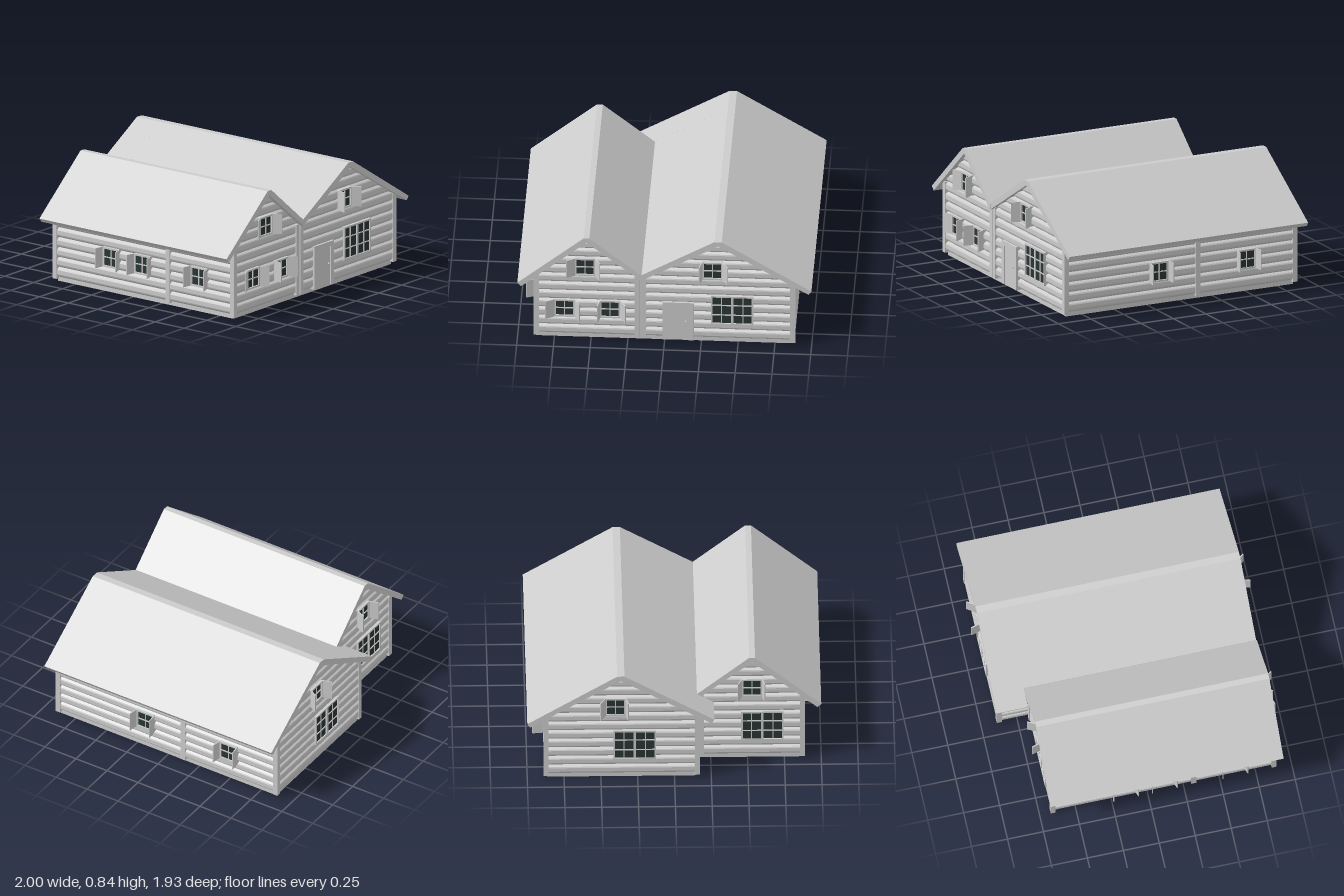
import * as THREE from 'three';

const wood = new THREE.MeshStandardMaterial({ color: 0xcccccc, flatShading: true });
const glass = new THREE.MeshStandardMaterial({ color: 0x2a3434 });

function mesh(parent, name, geo, x = 0, y = 0, z = 0, mat = wood) {
  const m = new THREE.Mesh(geo, mat);
  m.name = name;
  m.position.set(x, y, z);
  parent.add(m);
  return m;
}
const box = (parent, name, w, h, d, x, y, z, mat) =>
  mesh(parent, name, new THREE.BoxGeometry(w, h, d), x, y, z, mat);

// Polygon in x/y, extruded from z0 to z1
function prism(parent, name, pts, z0, z1) {
  const shape = new THREE.Shape(pts.map(p => new THREE.Vector2(...p)));
  const geo = new THREE.ExtrudeGeometry(shape, { depth: z1 - z0, bevelEnabled: false });
  return mesh(parent, name, geo, 0, 0, z0);
}

// A wall frame: local x runs along the wall, local z points outwards
function facade(parent, name, angle, x, z) {
  const g = new THREE.Group();
  g.name = name;
  g.rotation.y = angle;
  g.position.set(x, 0, z);
  parent.add(g);
  return g;
}

// Chamfered logs stacked between the limits left(y) and right(y)
const PITCH = 0.07, LOG = 0.02;
function logs(wall, left, right, rows) {
  for (let i = 0; i < rows; i++) {
    const y0 = 0.03 + i * PITCH, top = Math.min(y0 + PITCH, 0.795);
    const h = top - y0;
    const profile = [[0, 0], [LOG * 0.8, h * 0.18], [LOG, h * 0.32], [LOG, h * 0.72], [LOG * 0.8, h * 0.84], [0, h]];
    const geo = new THREE.ExtrudeGeometry(
      new THREE.Shape(profile.map(p => new THREE.Vector2(...p))), { depth: 1, bevelEnabled: false });
    const p = geo.attributes.position;
    for (let k = 0; k < p.count; k++) {
      const y = y0 + p.getY(k);
      p.setXYZ(k, THREE.MathUtils.lerp(left(y), right(y), 1 - p.getZ(k)), y, p.getX(k));
    }
    geo.computeVertexNormals();
    mesh(wall, 'log', geo);
  }
}

// Framed window with glazing bars; shutters = [left, right] opening angles in degrees from the wall
function windowAt(wall, x, y, w, h, cols, rows, shutters) {
  const g = new THREE.Group();
  g.name = 'window';
  g.position.set(x, y, 0);
  wall.add(g);
  const t = 0.012, rect = (path, a, b) =>
    path.moveTo(-a, -b).lineTo(a, -b).lineTo(a, b).lineTo(-a, b).closePath();
  const frame = new THREE.Shape(), hole = new THREE.Path();
  rect(frame, w / 2, h / 2);
  rect(hole, w / 2 - t, h / 2 - t);
  frame.holes.push(hole);
  mesh(g, 'windowFrame', new THREE.ExtrudeGeometry(frame, { depth: 0.032, bevelEnabled: false }));
  box(g, 'glass', w - t, h - t, 0.021, 0, 0, 0.0115, glass);
  for (let i = 1; i < cols; i++) {
    const middle = cols === 4 && i === 2;
    box(g, 'glazingBar', middle ? 0.018 : 0.007, h - t, middle ? 0.012 : 0.006, -w / 2 + i * w / cols, 0, 0.025);
  }
  for (let i = 1; i < rows; i++) box(g, 'glazingBar', w - t, 0.007, 0.006, 0, -h / 2 + i * h / rows, 0.025);
  if (!shutters) return;
  shutters.forEach((deg, i) => {
    const side = i ? 1 : -1, hinge = new THREE.Group();
    hinge.name = 'shutter';
    hinge.position.set(side * w / 2, 0, 0.03);
    hinge.rotation.y = -side * THREE.MathUtils.degToRad(deg);
    g.add(hinge);
    box(hinge, 'shutterPanel', 0.066, h, 0.007, side * 0.033, 0, 0);
  });
}
const smallWindow = (wall, x, y, shutters) => windowAt(wall, x, y, 0.14, 0.14, 2, 2, shutters);
const wideWindow = (wall, x, y, rows) => windowAt(wall, x, y, 0.29, 0.235, 4, rows);

export function createModel() {
  const house = new THREE.Group();
  house.name = 'logHouse';

  // Solid bodies of the two wings
  prism(house, 'smallWingBody', [[-0.86, 0], [-0.15, 0], [-0.15, 0.51], [-0.53, 0.81], [-0.86, 0.53]], -0.65, 0.87);
  prism(house, 'largeWingBody', [[-0.15, 0], [0.865, 0], [0.865, 0.51], [0.365, 0.81], [-0.15, 0.51]], -0.87, 0.87);

  // Roofs; the large one has a longer eave behind the small wing
  prism(house, 'smallRoof', [[-1, 0.46], [-0.975, 0.432], [-0.53, 0.805], [-0.155, 0.505],
    [-0.155, 0.548], [-0.51, 0.84], [-0.55, 0.84]], -0.7, 0.92);
  const largeRoof = (eave, z0, z1) => prism(house, 'largeRoof', [...eave, [0.365, 0.805], [0.98, 0.432],
    [1, 0.46], [0.39, 0.84], [0.34, 0.84]], z0, z1);
  largeRoof([[-0.155, 0.55], [-0.155, 0.505]], -0.7, 0.915);
  largeRoof([[-0.27, 0.483], [-0.255, 0.45]], -0.915, -0.7);

  // Gable outlines under the roof slopes
  const smallL = y => Math.max(-0.87, -1 + (y - 0.42) / 0.844);
  const smallR = y => Math.min(-0.17, -0.51 + (0.8 - y) / 0.817);
  const largeL = y => Math.max(-0.145, 0.34 - (0.8 - y) / 0.586);
  const largeR = y => Math.min(0.87, 0.39 + (0.8 - y) / 0.62);
  const flip = f => y => -f(y);
  const flat = v => () => v;

  // Front of the small wing
  const frontSmall = facade(house, 'smallWingFront', 0, 0, 0.87);
  logs(frontSmall, smallL, smallR, 11);
  smallWindow(frontSmall, -0.54, 0.59, [30, 60]);
  smallWindow(frontSmall, -0.68, 0.25, [28, 58]);
  smallWindow(frontSmall, -0.37, 0.25, [78, 55]);

  // Front of the large wing, with the door
  const frontLarge = facade(house, 'largeWingFront', 0, 0, 0.87);
  logs(frontLarge, largeL, largeR, 11);
  smallWindow(frontLarge, 0.325, 0.59, [75, 55]);
  wideWindow(frontLarge, 0.46, 0.27, 3);
  for (const x of [0.002, 0.182]) box(frontLarge, 'doorJamb', 0.034, 0.3, 0.034, x, 0.17, 0.017);
  box(frontLarge, 'doorLintel', 0.214, 0.034, 0.034, 0.092, 0.308, 0.017);
  box(frontLarge, 'doorLeaf', 0.146, 0.27, 0.025, 0.092, 0.155, 0.0125);
  mesh(frontLarge, 'doorKnob', new THREE.SphereGeometry(0.007, 10, 8), 0.145, 0.17, 0.03);

  // Backs
  const backSmall = facade(house, 'smallWingBack', Math.PI, 0, -0.65);
  logs(backSmall, flip(smallR), flip(smallL), 11);
  smallWindow(backSmall, 0.53, 0.58, [65, 75]);
  wideWindow(backSmall, 0.6, 0.27, 3);
  const backLarge = facade(house, 'largeWingBack', Math.PI, 0, -0.87);
  logs(backLarge, flip(largeR), flip(largeL), 11);
  smallWindow(backLarge, -0.4, 0.58, [58, 75]);
  wideWindow(backLarge, -0.27, 0.27, 3);

  // Side walls
  const leftSide = facade(house, 'leftSide', Math.PI / 2, 0.865, 0);
  logs(leftSide, flat(-0.87), flat(0.87), 7);
  for (const z of [0.17, -0.5]) smallWindow(leftSide, -z, 0.23, [80, 85]);
  const rightSide = facade(house, 'rightSide', -Math.PI / 2, -0.86, 0);
  logs(rightSide, flat(-0.65), flat(0.87), 7);
  for (const z of [-0.17, 0.1, 0.59]) smallWindow(rightSide, z, 0.25, [80, 70]);
  const innerSide = facade(house, 'innerSide', -Math.PI / 2, -0.15, 0);
  logs(innerSide, flat(-0.87), flat(-0.65), 7);

  // Corner and mid-wall posts
  const posts = [[-0.872, 0.878], [-0.187, 0.878], [-0.143, 0.878], [0.872, 0.878], [0.872, -0.13], [0.872, -0.875],
    [-0.155, -0.875], [-0.872, -0.658], [-0.187, -0.658], [-0.868, 0.32]];
  for (const [x, z] of posts) box(house, 'post', 0.035, 0.5, 0.035, x, 0.27, z);
  return house;
}
